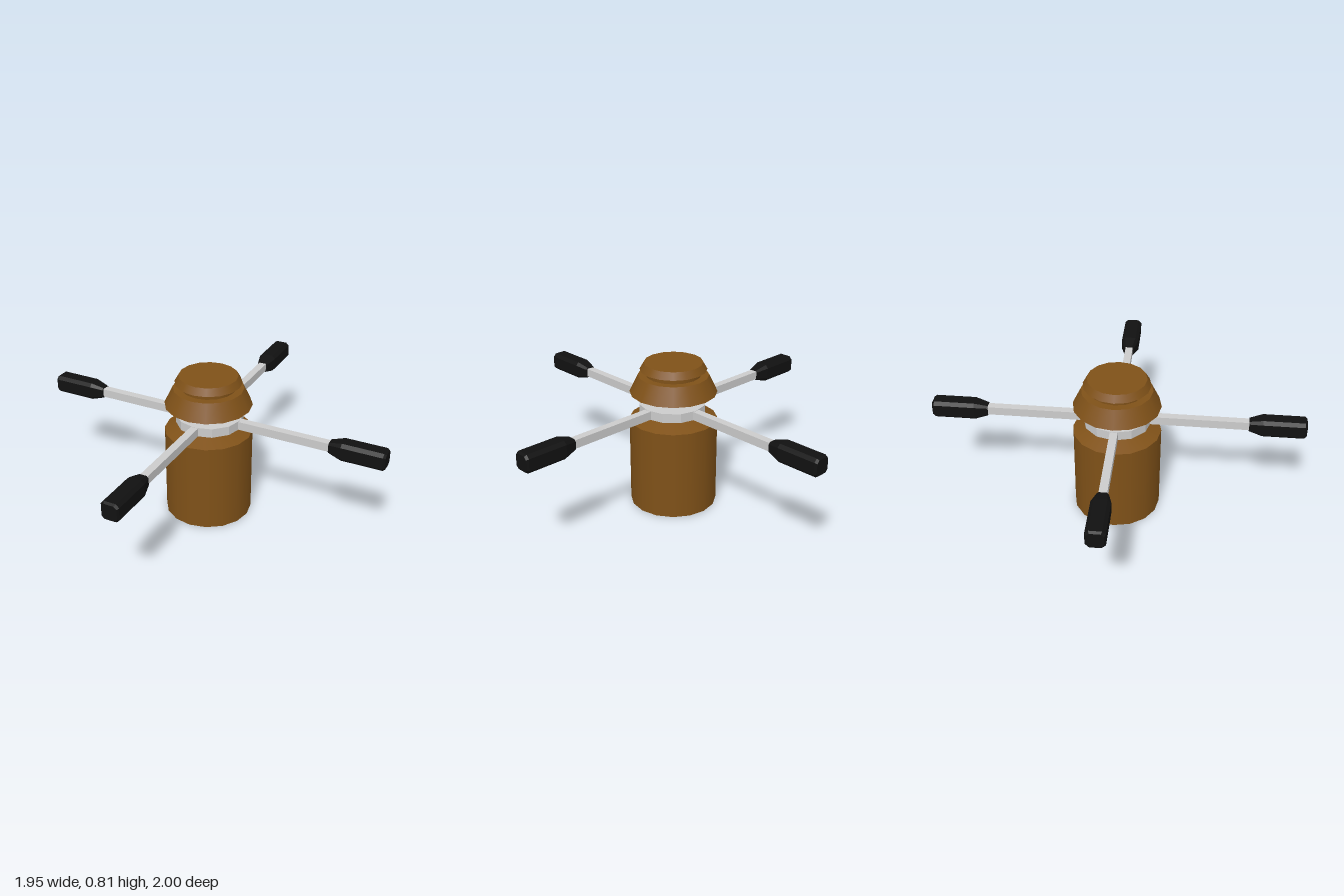
import * as THREE from 'three';
import { ConvexGeometry } from 'three/addons/geometries/ConvexGeometry.js';

const brown = new THREE.MeshStandardMaterial({ color: 0x7f5118 });
const grey = new THREE.MeshStandardMaterial({ color: 0xcccccc, flatShading: true });
const black = new THREE.MeshStandardMaterial({ color: 0x111111, flatShading: true });

// Upright round section between two heights
function drum(name, rBottom, rTop, y0, y1, material = brown, sides = 16) {
  const mesh = new THREE.Mesh(new THREE.CylinderGeometry(rTop, rBottom, y1 - y0, sides), material);
  mesh.name = name;
  mesh.position.y = (y0 + y1) / 2;
  return mesh;
}

// Bevelled square grip along +x, tapered towards the arm
function gripGeometry() {
  const points = [];
  for (const [x, half] of [[0, 0.03], [0.07, 0.049], [0.288, 0.049], [0.3, 0.041]]) {
    const c = half * 0.65;
    for (const s of [-1, 1]) for (const t of [-1, 1]) {
      points.push(new THREE.Vector3(x, s * half, t * c), new THREE.Vector3(x, s * c, t * half));
    }
  }
  return new ConvexGeometry(points);
}

export function createModel() {
  const model = new THREE.Group();
  model.name = 'handWheelCapstan';

  // Turned wooden post
  const post = new THREE.Group();
  post.name = 'post';
  post.position.x = -0.02;
  post.add(
    drum('body', 0.238, 0.238, 0, 0.49),
    drum('shoulder', 0.238, 0.12, 0.49, 0.535),
    drum('stem', 0.054, 0.054, 0.52, 0.65),
    drum('capSkirt', 0.236, 0.19, 0.643, 0.738),
    drum('capNeck', 0.148, 0.148, 0.73, 0.775),
    drum('capTop', 0.18, 0.158, 0.77, 0.808)
  );
  model.add(post);

  // Collar with four spokes, turned very slightly
  const wheel = new THREE.Group();
  wheel.name = 'wheel';
  wheel.position.set(-0.012, 0.56, 0);
  wheel.rotation.y = -0.01;
  wheel.add(drum('collar', 0.182, 0.182, -0.025, 0.025, grey, 12));
  const grip = gripGeometry();
  const gripStarts = [0.682, 0.7, 0.664, 0.7];
  gripStarts.forEach((start, i) => {
    const spoke = new THREE.Group();
    spoke.name = `spoke${i + 1}`;
    spoke.rotation.y = i * Math.PI / 2;
    const length = start + 0.02 - 0.1;
    const arm = new THREE.Mesh(new THREE.BoxGeometry(length, 0.046, 0.042), grey);
    arm.name = 'arm';
    arm.position.x = 0.1 + length / 2;
    const handle = new THREE.Mesh(grip, black);
    handle.name = 'handle';
    handle.position.x = start;
    spoke.add(arm, handle);
    wheel.add(spoke);
  });
  model.add(wheel);
  return model;
}
